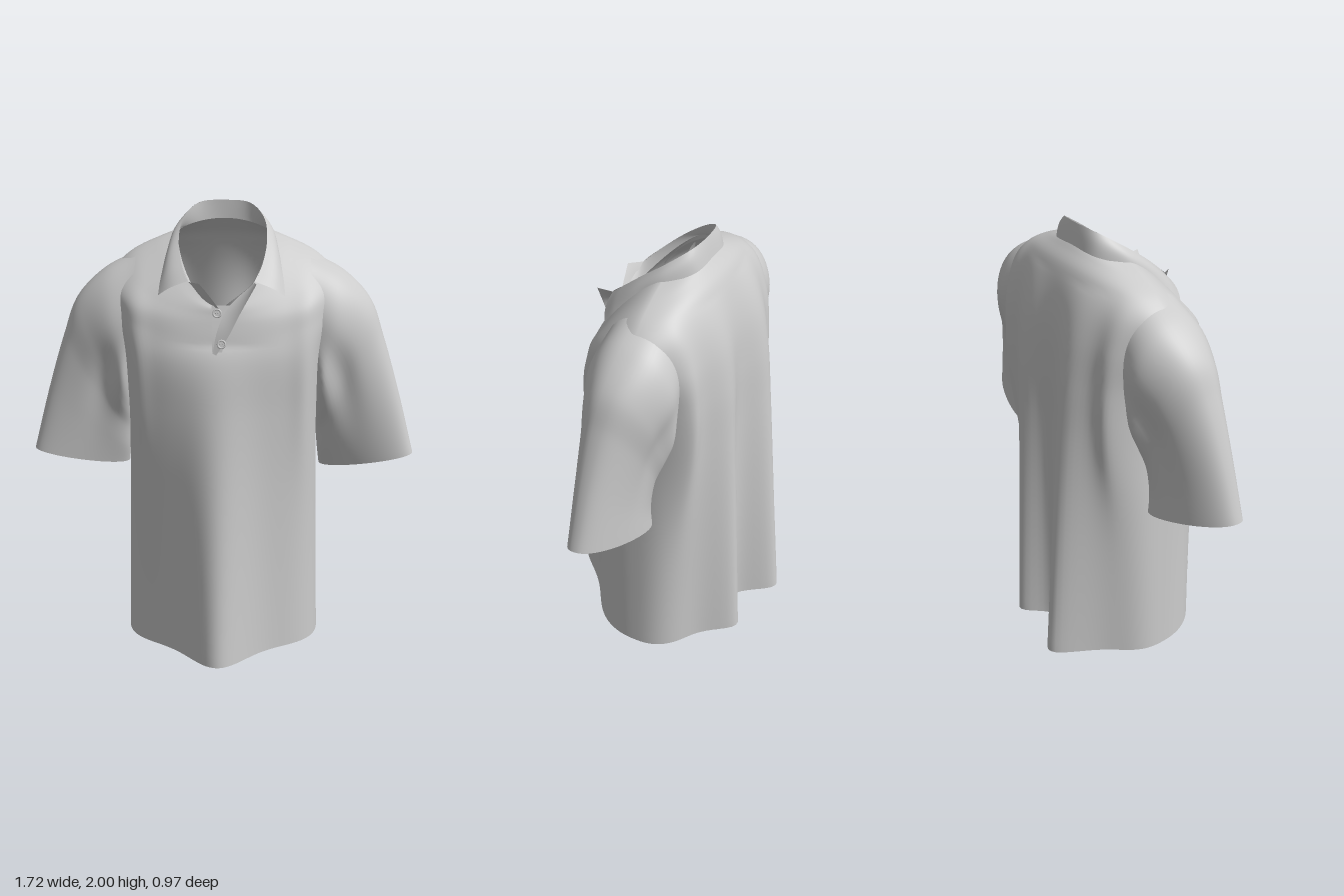
import * as THREE from 'three';
import { mergeVertices } from 'three/addons/utils/BufferGeometryUtils.js';

const cloth = new THREE.MeshStandardMaterial({ color: 0xcccccc, side: THREE.DoubleSide });
const V = (x, y, z) => new THREE.Vector3(x, y, z);
const bump = (x, centre, width) => Math.exp(-(((x - centre) / width) ** 2));
const curve = pts => new THREE.CatmullRomCurve3(pts);

// Smooth sheet from a function of u and v, both 0..1
function sheet(name, nu, nv, fn) {
  const pos = [], index = [];
  for (let i = 0; i <= nu; i++)
    for (let j = 0; j <= nv; j++) pos.push(...fn(i / nu, j / nv).toArray());
  for (let i = 0; i < nu; i++)
    for (let j = 0; j < nv; j++) {
      const a = i * (nv + 1) + j, b = a + nv + 1;
      index.push(a, b, a + 1, b, b + 1, a + 1);
    }
  let geo = new THREE.BufferGeometry();
  geo.setAttribute('position', new THREE.Float32BufferAttribute(pos, 3));
  geo.setIndex(index);
  geo = mergeVertices(geo, 1e-5);
  geo.computeVertexNormals();
  const mesh = new THREE.Mesh(geo, cloth);
  mesh.name = name;
  return mesh;
}

// Torso rings: half width, front z, back z, height at side / front / back, squareness
const rings = [
  [0.445, 0.30, -0.29, 0.0, 0.025, 0.02, 2.5],
  [0.434, 0.30, -0.295, 0.4, 0.4, 0.4, 2.6],
  [0.424, 0.30, -0.30, 0.8, 0.8, 0.8, 2.8],
  [0.42, 0.30, -0.305, 1.15, 1.15, 1.15, 3.1],
  [0.44, 0.298, -0.31, 1.4, 1.38, 1.4, 3],
  [0.49, 0.28, -0.30, 1.58, 1.48, 1.6, 2.5],
  [0.495, 0.265, -0.27, 1.695, 1.54, 1.74, 2.3],
  [0.42, 0.255, -0.23, 1.782, 1.575, 1.84, 2.1],
  [0.30, 0.248, -0.185, 1.845, 1.60, 1.89, 2],
  [0.20, 0.24, -0.155, 1.882, 1.61, 1.92, 2],
];

function ringPoint([w, zf, zb, ys, yf, yb, p], angle) {
  const s = Math.sin(angle), c = Math.cos(angle);
  const r = (Math.abs(s) ** p + Math.abs(c) ** p) ** (-1 / p);
  const zc = ys > 1.5 ? -0.05 : -0.02;
  const y = c > 0 ? ys + (yf - ys) * c ** 1.4 : ys + (yb - ys) * c * c;
  return V(w * s * r, y, zc + (c > 0 ? zf - zc : zc - zb) * c * r);
}

// Hanging folds, deepest at the hem
function addFolds(p, angle) {
  const c = Math.cos(angle), gate = Math.min(1, Math.abs(c) * 1.6);
  const side = bump(p.y, 1.25, 0.4) * bump(Math.abs(p.x), 0.38, 0.06);
  if (c > 0) {
    const k = Math.max(0, 1 - p.y / 1.45) ** 0.75;
    p.z += gate * (k * 0.193 * bump(p.x, -0.01, 0.165) + 0.03 * side);
  } else {
    const k = Math.max(0, 1 - p.y / 1.8) ** 0.8;
    p.z -= gate * (k * (0.205 * bump(p.x, -0.19, 0.115) + 0.135 * bump(p.x, 0.15, 0.095)) + 0.06 * side);
  }
  return p;
}

function makeTorso() {
  const cache = new Map();
  return sheet('torso', 144, 64, (u, v) => {
    const angle = (u % 1) * Math.PI * 2;
    if (!cache.has(u)) cache.set(u, curve(rings.map(r => ringPoint(r, angle))));
    return addFolds(cache.get(u).getPoint(v), angle);
  });
}

// Sleeve sections: top point, bottom point, half depth
const sleeveRows = [
  [V(0.38, 1.79, -0.05), V(0.40, 1.24, -0.03), 0.19],
  [V(0.53, 1.712, -0.05), V(0.405, 1.14, -0.03), 0.205],
  [V(0.65, 1.59, -0.035), V(0.41, 1.05, -0.035), 0.17],
  [V(0.71, 1.43, -0.01), V(0.42, 0.98, -0.045), 0.135],
  [V(0.785, 1.18, 0.015), V(0.43, 0.88, -0.06), 0.11],
  [V(0.858, 0.90, 0.035), V(0.44, 0.80, -0.085), 0.095],
];

function makeSleeve(side) {
  const top = curve(sleeveRows.map(r => r[0]));
  const low = curve(sleeveRows.map(r => r[1]));
  const depth = curve(sleeveRows.map((r, i) => V(i, r[2], 0)));
  return sheet(side > 0 ? 'leftSleeve' : 'rightSleeve', 64, 36, (u, v) => {
    const a = (u % 1) * Math.PI * 2 * side, c = Math.cos(a), s = Math.sin(a);
    const p = low.getPoint(v).lerp(top.getPoint(v), 0.5 + 0.5 * c);
    // soft creases running out of the underarm
    const crease = 1 - 0.14 * bump(c, -0.1, 0.3) * bump(v, 0.45, 0.3) + 0.08 * bump(c, -0.6, 0.25) * bump(v, 0.35, 0.25);
    p.z += Math.sign(s) * Math.abs(s) ** 0.85 * depth.getPoint(v).y * crease;
    p.x *= side;
    return p;
  });
}

// Collar rails, each half given from centre back to front
const rail = pts => curve([
  ...pts.slice(1).reverse().map(([x, y, z]) => V(-x, y, z)),
  ...pts.map(p => V(...p)),
]);
const fold = [[0, 2.0, -0.155], [0.11, 1.992, -0.138], [0.175, 1.94, -0.06], [0.19, 1.86, 0.05],
  [0.172, 1.775, 0.15], [0.14, 1.715, 0.215]];
const leafEdge = [[0, 1.91, -0.178], [0.13, 1.9, -0.165], [0.215, 1.865, -0.07], [0.247, 1.795, 0.045],
  [0.265, 1.705, 0.138], [0.277, 1.64, 0.182]];

function makeCollar() {
  const collar = new THREE.Group();
  collar.name = 'collar';
  const top = rail(fold), edge = rail(leafEdge);
  const standTop = rail([...fold, [0.02, 1.62, 0.25]]);
  collar.add(sheet('collarLeaf', 72, 8, (u, v) => {
    const p = top.getPoint(u).lerp(edge.getPoint(u), v);
    const lift = 0.01 * Math.sin(Math.PI * v);
    return p.add(V(Math.sign(p.x) * Math.min(1, Math.abs(p.x) * 8) * lift, lift * 0.6, (u - 0.5) ** 2 * 4 * lift));
  }));
  // the stand rises from the torso neckline to the fold
  const neck = rings[rings.length - 1];
  collar.add(sheet('collarStand', 72, 5, (u, v) =>
    ringPoint(neck, -0.08 - u * (Math.PI * 2 - 0.16)).lerp(standTop.getPoint(u), v)));
  return collar;
}

// Front opening: under strip, and two flaps turned open below the collar
function makePlacket() {
  const placket = new THREE.Group();
  placket.name = 'placket';
  const strip = (name, left, right) => {
    const l = curve(left), r = curve(right);
    placket.add(sheet(name, 6, 16, (u, v) => l.getPoint(v).lerp(r.getPoint(v), u)));
  };
  strip('underStrip',
    [V(-0.035, 1.41, 0.302), V(-0.035, 1.5, 0.284), V(-0.04, 1.62, 0.25)],
    [V(0.0, 1.41, 0.303), V(0.03, 1.5, 0.284), V(0.04, 1.62, 0.25)]);
  strip('leftFlap',
    [V(-0.035, 1.415, 0.303), V(-0.01, 1.53, 0.284), V(0.03, 1.61, 0.255), V(0.14, 1.712, 0.215)],
    [V(-0.025, 1.405, 0.305), V(0.035, 1.5, 0.302), V(0.075, 1.58, 0.295), V(0.15, 1.718, 0.285)]);
  strip('rightFlap',
    [V(-0.01, 1.6, 0.255), V(-0.07, 1.65, 0.24), V(-0.14, 1.712, 0.215)],
    [V(-0.01, 1.61, 0.262), V(-0.05, 1.665, 0.265), V(-0.09, 1.715, 0.268)]);
  return placket;
}

function makeButton(x, y, z) {
  const button = new THREE.Group();
  button.name = 'button';
  const disc = new THREE.Mesh(new THREE.CylinderGeometry(0.017, 0.017, 0.008, 24), cloth);
  disc.rotation.x = Math.PI / 2;
  disc.name = 'buttonDisc';
  const rim = new THREE.Mesh(new THREE.TorusGeometry(0.016, 0.004, 8, 24), cloth);
  rim.position.z = 0.004;
  rim.name = 'buttonRim';
  button.add(disc, rim);
  for (const sx of [-1, 1]) {
    const stitch = new THREE.Mesh(new THREE.SphereGeometry(0.003, 8, 6), cloth);
    stitch.position.set(sx * 0.005, 0, 0.005);
    stitch.name = 'buttonStitch';
    button.add(stitch);
  }
  button.position.set(x, y, z);
  button.rotation.x = -0.2;
  return button;
}

export function createModel() {
  const shirt = new THREE.Group();
  shirt.name = 'shirt';
  shirt.add(makeTorso(), makeSleeve(1), makeSleeve(-1), makeCollar(), makePlacket());
  shirt.add(makeButton(-0.015, 1.59, 0.268), makeButton(0.005, 1.465, 0.304));
  return shirt;
}
